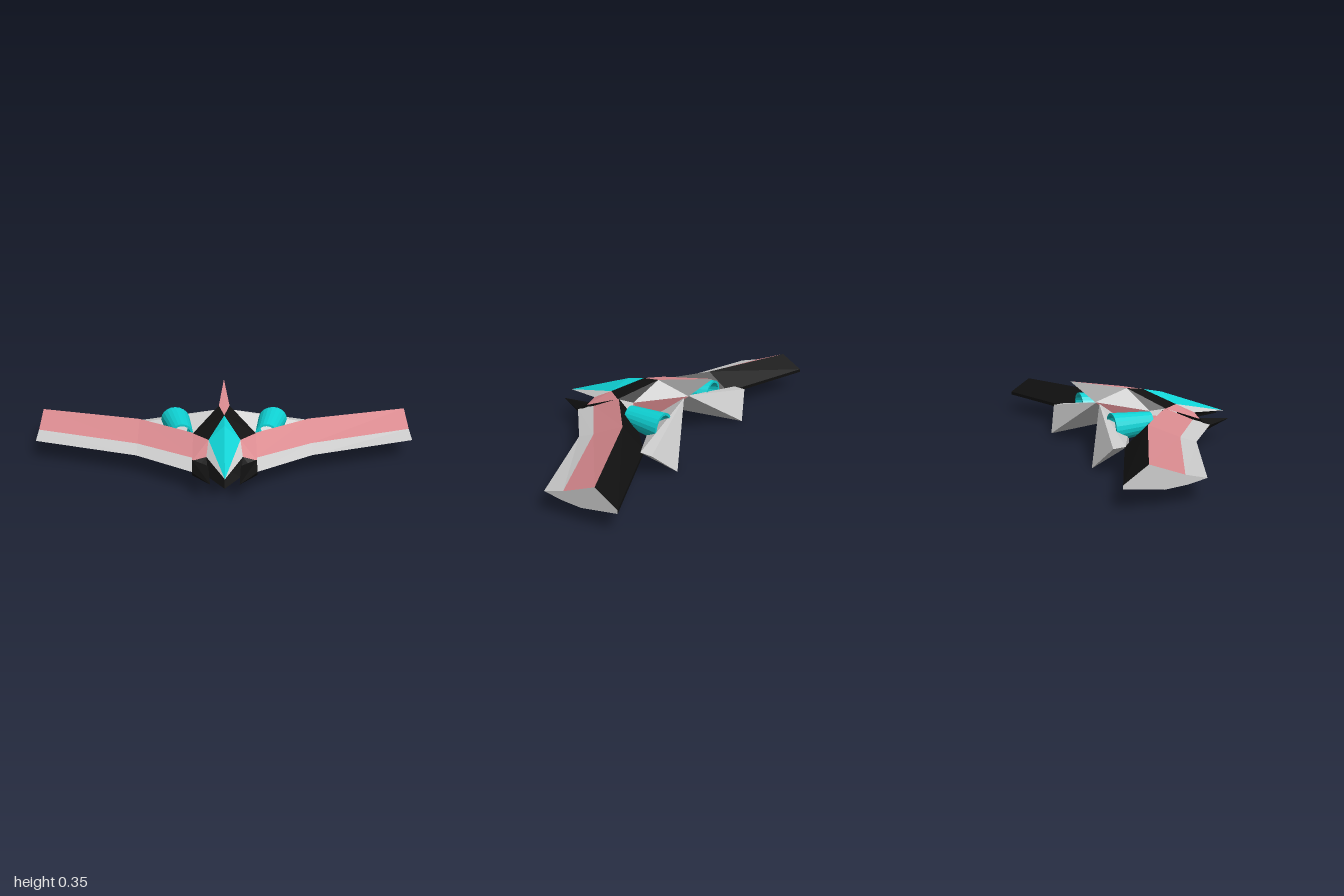
import * as THREE from 'three';
import { ConvexGeometry } from 'three/addons/geometries/ConvexGeometry.js';

const mat = (color) => new THREE.MeshStandardMaterial({ color, flatShading: true, side: THREE.DoubleSide });
const GREY = mat(0xcccccc), PINK = mat(0xd98a8f), BLACK = mat(0x101010), CYAN = mat(0x0fd2d4);

function addMesh(parent, name, geometry, material) {
  const mesh = new THREE.Mesh(geometry, material);
  mesh.name = name;
  parent.add(mesh);
  return mesh;
}

// Flat-shaded panels: each face is a fan of corner points, mirrored by s
function panels(parent, name, material, faces, s) {
  const pos = [];
  for (const f of faces) {
    for (let i = 1; i < f.length - 1; i++) {
      const tri = s > 0 ? [f[0], f[i], f[i + 1]] : [f[0], f[i + 1], f[i]];
      for (const [x, y, z] of tri) pos.push(x * s, y, z);
    }
  }
  const g = new THREE.BufferGeometry();
  g.setAttribute('position', new THREE.Float32BufferAttribute(pos, 3));
  g.computeVertexNormals();
  return addMesh(parent, name, g, material);
}

function hull(parent, name, material, points, s) {
  const pts = points.map(([x, y, z]) => new THREE.Vector3(x * s, y, z));
  return addMesh(parent, name, new ConvexGeometry(pts), material);
}

// Wing: three cross-sections [y, z], from leading edge over the top and back below
function buildWing(s) {
  const wing = new THREE.Group();
  wing.name = s > 0 ? 'leftWing' : 'rightWing';
  const stations = [
    [0.15, [[0.105, 0.315], [0.138, 0.215], [0.21, 0.06], [0.115, -0.04], [0.098, -0.04], [0.066, 0.11], [0.08, 0.22]]],
    [0.45, [[0.105, 0.1], [0.136, 0.015], [0.21, -0.15], [0.115, -0.265], [0.098, -0.265], [0.067, -0.09], [0.08, 0.0]]],
    [1.0, [[0.105, -0.1], [0.13, -0.2], [0.19, -0.36], [0.115, -0.47], [0.098, -0.47], [0.076, -0.29], [0.086, -0.19]]],
  ];
  const rings = stations.map(([x, ring]) => ring.map(([y, z]) => [x, y, z]));
  const bands = [
    ['upperLeadingBand', GREY], ['upperMiddleBand', PINK], ['upperTrailingBand', BLACK],
    ['trailingEdge', BLACK], ['lowerTrailingBand', BLACK], ['lowerMiddleBand', PINK], ['lowerLeadingBand', GREY],
  ];
  bands.forEach(([name, material], i) => {
    const j = (i + 1) % bands.length, faces = [];
    for (let k = 0; k < 2; k++) faces.push([rings[k][i], rings[k + 1][i], rings[k + 1][j], rings[k][j]]);
    panels(wing, name, material, faces, s);
  });
  panels(wing, 'wingTip', GREY, [[...rings[2]].reverse()], s);
  return wing;
}

// One half of the faceted body
function buildBodyHalf(s) {
  const body = new THREE.Group();
  body.name = s > 0 ? 'leftBody' : 'rightBody';
  const nose = [0, 0.135, 0.46], canopySide = [0.08, 0.21, 0.15];
  const ridge = [0, 0.265, 0.1], crown = [0, 0.285, 0];
  const finBase = [0.028, 0.302, -0.1], finTip = [0, 0.352, -0.39], rear = [0, 0.235, -0.26];
  const shoulder = [0.16, 0.21, 0.06], hip = [0.14, 0.2, -0.02];
  const cheek = [0.09, 0.16, 0.25], wall = [0.16, 0.14, 0.25];
  const wallLow = [0.16, 0.07, 0.27], chinSide = [0.08, 0.06, 0.27], chin = [0, 0.02, 0.32];
  const throat = [0, 0.125, 0.3], belly = [0, 0.06, 0.2], bellyRear = [0, 0.06, -0.06];
  const keel = [0.08, 0.06, -0.06], side = [0.16, 0.075, -0.02];

  panels(body, 'canopy', CYAN, [[nose, canopySide, ridge], [ridge, canopySide, crown]], s);
  panels(body, 'noseSide', GREY, [[nose, cheek, canopySide]], s);
  panels(body, 'shoulderPanel', PINK, [[canopySide, cheek, wall, shoulder]], s);
  panels(body, 'collar', BLACK, [[crown, canopySide, shoulder], [crown, shoulder, finBase], [finBase, shoulder, hip]], s);
  panels(body, 'finTop', PINK, [[crown, finBase, finTip]], s);
  panels(body, 'finSide', GREY, [[finBase, rear, finTip], [finBase, hip, rear]], s);
  panels(body, 'frontWall', BLACK, [
    [nose, throat, cheek], [throat, chin, chinSide, cheek], [cheek, chinSide, wallLow, wall], [chin, belly, chinSide],
  ], s);
  panels(body, 'bellyPanel', GREY, [[chinSide, belly, bellyRear, keel], [wallLow, chinSide, keel, side]], s);
  panels(body, 'rearPanel', PINK, [[bellyRear, rear, keel], [keel, rear, hip, side]], s);

  // Forward-pointing spike beside the nose
  hull(body, 'spike', BLACK, [
    [0.07, 0.108, 0.46], [0.08, 0.12, 0.27], [0.16, 0.145, 0.25],
    [0.16, 0.105, 0.315], [0.16, 0.08, 0.29], [0.09, 0.08, 0.27],
  ], s);
  return body;
}

// Hollow tapered engine pod, splayed outward toward the back
function buildEngine(s) {
  const profile = [[0.058, 0], [0.078, 0.215], [0.064, 0.215], [0.046, 0], [0.058, 0]];
  const g = new THREE.LatheGeometry(profile.map(([r, h]) => new THREE.Vector2(r, h)), 20);
  g.rotateX(-Math.PI / 2);
  g.scale(1, 0.9, 1);
  g.applyMatrix4(new THREE.Matrix4().makeShear(0, 0, 0, 0, -0.21 * s, 0));
  g.computeVertexNormals();
  const pod = addMesh(new THREE.Group(), s > 0 ? 'leftEngine' : 'rightEngine', g, CYAN);
  pod.position.set(0.22 * s, 0.164, -0.05);
  return pod;
}

export function createModel() {
  const model = new THREE.Group();
  model.name = 'gliderCraft';
  for (const s of [1, -1]) {
    model.add(buildBodyHalf(s), buildWing(s), buildEngine(s));
    // Drooping tail plane
    hull(model, s > 0 ? 'leftTail' : 'rightTail', GREY, [
      [0.02, 0.23, -0.245], [0.505, 0.13, -0.28], [0.505, 0.125, -0.34],
      [0.36, 0, -0.397], [0.3, 0.075, -0.19], [0.07, 0.12, -0.1],
    ], s);
  }
  return model;
}
